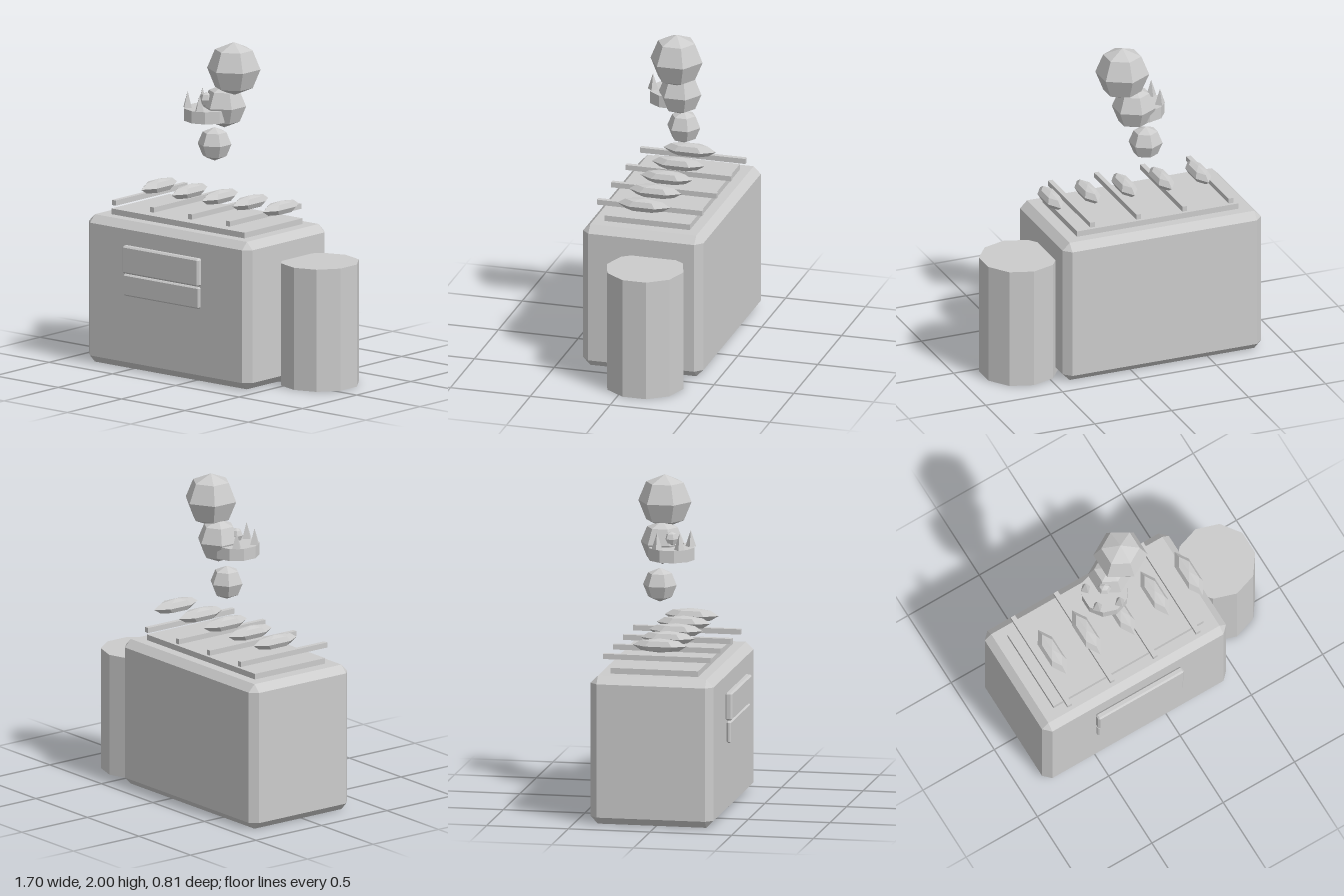
import * as THREE from 'three';
import { ConvexGeometry } from 'three/addons/geometries/ConvexGeometry.js';

const grey = new THREE.MeshStandardMaterial({ color: 0xcccccc, flatShading: true });
grey.name = 'plain grey';

// Box with flat chamfers, given by its limits on each axis
function chamferBox([x0, x1], [y0, y1], [z0, z1], c) {
  const h = [(x1 - x0) / 2, (y1 - y0) / 2, (z1 - z0) / 2];
  const points = [];
  for (const sx of [-1, 1]) for (const sy of [-1, 1]) for (const sz of [-1, 1]) {
    for (let axis = 0; axis < 3; axis++) {
      const p = h.map((v, i) => (i === axis ? v : v - c));
      points.push(new THREE.Vector3(sx * p[0], sy * p[1], sz * p[2]));
    }
  }
  return new ConvexGeometry(points).translate((x0 + x1) / 2, (y0 + y1) / 2, (z0 + z1) / 2);
}

function box([x0, x1], [y0, y1], [z0, z1]) {
  return new THREE.BoxGeometry(x1 - x0, y1 - y0, z1 - z0)
    .translate((x0 + x1) / 2, (y0 + y1) / 2, (z0 + z1) / 2);
}

// Six-sided ball with corners towards the front and back
function ball(rx, ry, rz, x, y, z) {
  return new THREE.SphereGeometry(1, 6, 4).rotateY(Math.PI / 2).scale(rx, ry, rz).translate(x, y, z);
}

export function createModel() {
  const model = new THREE.Group();
  model.name = 'grillStand';
  const add = (name, geometry, parent = model) => {
    const mesh = new THREE.Mesh(geometry, grey);
    mesh.name = name;
    parent.add(mesh);
  };
  const group = (name) => {
    const g = new THREE.Group();
    g.name = name;
    model.add(g);
    return g;
  };

  // Cabinet and its hot plate
  add('cabinet', chamferBox([-0.85, 0.44], [0, 0.905], [-0.403, 0.35], 0.045));
  add('hotPlate', box([-0.73, 0.32], [0.89, 0.94], [-0.295, 0.24]));

  // Front sign boards
  add('upperBoard', chamferBox([-0.51, 0.09], [0.6, 0.77], [0.36, 0.403], 0.01));
  add('lowerBoard', chamferBox([-0.51, 0.09], [0.462, 0.595], [0.368, 0.395], 0.009));

  // Barrel beside the cabinet
  add('barrel', new THREE.CylinderGeometry(0.24, 0.24, 0.75, 10).translate(0.62, 0.375, -0.105));

  // Grill bars
  const bars = group('grillBars');
  for (let i = 0; i < 4; i++) {
    const x = -0.655 + i * 0.3;
    add('grillBar', box([x - 0.015, x + 0.015], [0.98, 1.012], [-0.355, 0.305]), bars);
  }

  // Food lying across the bars
  const food = group('sausages');
  for (let i = 0; i < 5; i++) {
    add('sausage', ball(0.058, 0.043, 0.165, -0.58 + i * 0.24, 1.058, -0.025), food);
  }

  // Rising smoke puffs
  const smoke = group('smoke');
  for (const [r, x, y] of [[0.103, -0.207, 1.355], [0.133, -0.13, 1.6], [0.163, -0.055, 1.838]]) {
    add('smokePuff', ball(r, r, r, x, y, -0.1), smoke);
  }

  // Crown: band, five points and a centre jewel
  const crown = group('crown');
  crown.position.set(-0.206, 1.515, -0.03);
  add('crownBand', new THREE.CylinderGeometry(0.142, 0.142, 0.075, 10).translate(0, 0.0375, 0), crown);
  for (let i = 0; i < 5; i++) {
    const a = (i * Math.PI * 2) / 5;
    add('crownPoint', new THREE.ConeGeometry(0.033, 0.1, 4)
      .translate(Math.cos(a) * 0.117, 0.125, Math.sin(a) * 0.117), crown);
  }
  add('crownJewel', ball(0.043, 0.043, 0.043, -0.005, 0.125, 0), crown);

  return model;
}
